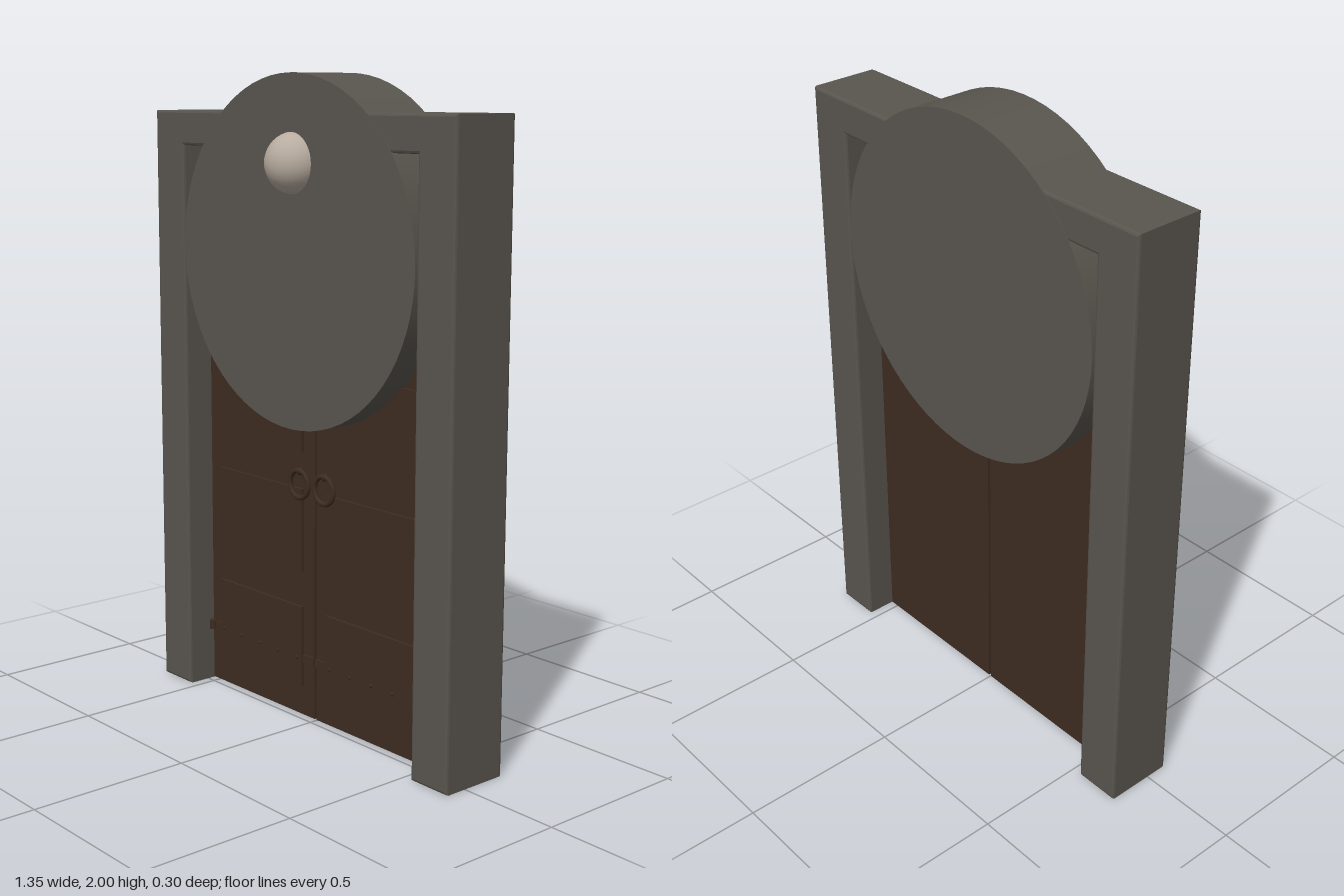
import * as THREE from 'three';

export function createModel() {
  const root = new THREE.Group();
  root.name = 'doubleDoor';

  const mat = (name, color) => {
    const m = new THREE.MeshStandardMaterial({ color });
    m.name = name;
    return m;
  };
  const stone = mat('stone', 0x59554e);
  const wood = mat('darkWood', 0x3d2c21);
  const pale = mat('paleStone', 0xb8aca0);

  const add = (parent, name, geometry, material, x, y, z) => {
    const mesh = new THREE.Mesh(geometry, material);
    mesh.name = name;
    mesh.position.set(x, y, z);
    parent.add(mesh);
    return mesh;
  };

  const BACK = -0.15, FRONT = 0.074;

  // Stone surround: two jambs and a lintel with softened edges
  const b = 0.008;
  const outline = [
    [-0.675 + b, b], [-0.53 - b, b], [-0.53 - b, 1.78 + b], [0.53 + b, 1.78 + b],
    [0.53 + b, b], [0.675 - b, b], [0.675 - b, 1.888 - b], [-0.675 + b, 1.888 - b],
  ];
  const surround = new THREE.ExtrudeGeometry(
    new THREE.Shape(outline.map(([x, y]) => new THREE.Vector2(x, y))),
    { depth: FRONT - BACK - 2 * b, bevelSize: b, bevelThickness: b, bevelSegments: 2 },
  );
  add(root, 'surround', surround, stone, 0, 0, BACK + b);

  // Round stone slab over the door head, with a ball set in its face
  const slab = new THREE.CylinderGeometry(0.526, 0.526, FRONT - BACK + 0.002, 72);
  slab.rotateX(Math.PI / 2);
  add(root, 'roundSlab', slab, stone, 0, 1.474, (FRONT + BACK) / 2);
  add(root, 'ball', new THREE.SphereGeometry(0.092, 32, 20), pale, 0, 1.74, 0.058);

  // Two mirrored door leaves
  const LEAF_FRONT = -0.022, LEAF_BACK = -0.056;
  const panels = [[0.1, 0.36], [0.475, 0.74], [0.855, 1.115], [1.19, 1.38]];
  for (const side of [-1, 1]) {
    const leaf = new THREE.Group();
    leaf.name = side > 0 ? 'leftLeaf' : 'rightLeaf';
    root.add(leaf);

    add(leaf, 'board', new THREE.BoxGeometry(0.52, 1.42, LEAF_FRONT - LEAF_BACK), wood,
      side * 0.265, 0.714, (LEAF_FRONT + LEAF_BACK) / 2);

    // Raised panels
    for (const [y0, y1] of panels) {
      add(leaf, 'panel', new THREE.BoxGeometry(0.414, y1 - y0, 0.012), wood,
        side * 0.263, (y0 + y1) / 2, LEAF_FRONT + 0.005);
    }

    // Hinge straps with barrels and studs
    for (const y of [0.192, 1.23]) {
      add(leaf, 'strap', new THREE.BoxGeometry(0.52, 0.026, 0.008), wood,
        side * 0.265, y, LEAF_FRONT + 0.003);
      add(leaf, 'hingeBarrel', new THREE.CylinderGeometry(0.012, 0.012, 0.03, 12), wood,
        side * 0.518, y, LEAF_FRONT + 0.008);
      for (let i = 0; i < 5; i++) {
        add(leaf, 'stud', new THREE.SphereGeometry(0.006, 8, 6), wood,
          side * (0.078 + i * 0.094), y, LEAF_FRONT + 0.011);
      }
    }

    // Ring handle and its mount
    add(leaf, 'ringHandle', new THREE.TorusGeometry(0.043, 0.008, 10, 32), wood,
      side * 0.058, 0.757, LEAF_FRONT + 0.018);
    add(leaf, 'handleMount', new THREE.SphereGeometry(0.012, 12, 8), wood,
      side * 0.058, 0.797, LEAF_FRONT + 0.014);
  }

  return root;
}
